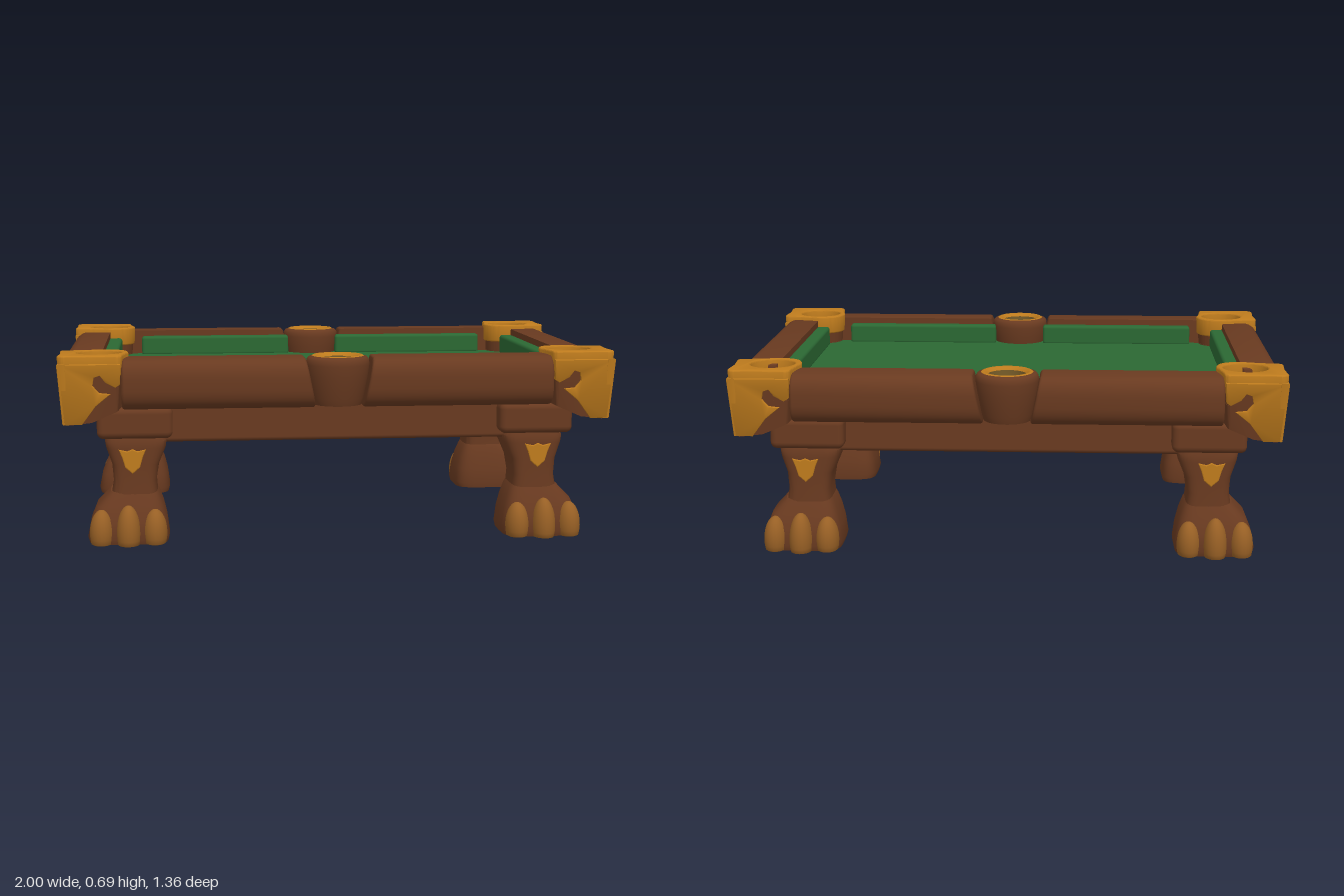
import * as THREE from 'three';
import { mergeVertices, toCreasedNormals } from 'three/addons/utils/BufferGeometryUtils.js';
import { RoundedBoxGeometry } from 'three/addons/geometries/RoundedBoxGeometry.js';

const clamp = THREE.MathUtils.clamp;
const mat = (name, color, side = THREE.FrontSide) => {
  const m = new THREE.MeshStandardMaterial({ color, side });
  m.name = name;
  return m;
};

// Mirrored copy of a geometry in x and/or z, keeping faces outward
function mirrored(geo, sx, sz) {
  const g = mergeVertices(geo.clone());
  g.scale(sx, 1, sz);
  if (sx * sz < 0) {
    const a = g.index.array;
    for (let i = 0; i < a.length; i += 3) [a[i], a[i + 1]] = [a[i + 1], a[i]];
  }
  return g;
}

// Solid through rounded-square sections [y, xMin, xMax, zMin, zMax]
function loft(sections, n = 32, power = 0.45) {
  const pos = [], idx = [];
  const bend = (v) => Math.sign(v) * Math.abs(v) ** power;
  for (const [y, x0, x1, z0, z1] of sections) {
    for (let i = 0; i < n; i++) {
      const a = (i / n) * Math.PI * 2;
      pos.push((x0 + x1) / 2 + bend(Math.cos(a)) * (x1 - x0) / 2, y,
        (z0 + z1) / 2 + bend(Math.sin(a)) * (z1 - z0) / 2);
    }
  }
  for (let s = 0; s < sections.length - 1; s++) {
    for (let i = 0; i < n; i++) {
      const a = s * n + i, b = s * n + (i + 1) % n;
      idx.push(a, a + n, b, b, a + n, b + n);
    }
  }
  const top = (sections.length - 1) * n;
  for (let i = 1; i < n - 1; i++) idx.push(0, i, i + 1, top, top + i + 1, top + i);
  const g = new THREE.BufferGeometry();
  g.setAttribute('position', new THREE.Float32BufferAttribute(pos, 3));
  g.setIndex(idx);
  return toCreasedNormals(g, 0.7);
}

const shapeOf = (pts) => new THREE.Shape(pts.map(([x, y]) => new THREE.Vector2(x, y)));

// Rail of given length along z, centred, outer side towards +x (0 to 0.15)
function railGeometry(length) {
  const s = new THREE.Shape();
  s.moveTo(0.01, 0.5);
  s.lineTo(0.09, 0.5);
  s.quadraticCurveTo(0.135, 0.505, 0.14, 0.56);
  s.lineTo(0.14, 0.6);
  s.quadraticCurveTo(0.138, 0.65, 0.1, 0.66);
  s.lineTo(0.01, 0.66);
  const b = 0.01;
  const g = new THREE.ExtrudeGeometry(s, {
    depth: length - 2 * b, bevelSize: b, bevelThickness: b, bevelSegments: 3, curveSegments: 8,
  });
  return toCreasedNormals(g.translate(0, 0, -length / 2 + b), 0.6);
}

// Corner castings narrow downwards, their underside rising towards the bed
function taper(g) {
  const p = g.attributes.position;
  for (let i = 0; i < p.count; i++) {
    const x = p.getX(i), y = p.getY(i), z = p.getZ(i);
    const s = 1 - 0.12 * clamp((0.66 - y) / 0.22, 0, 1);
    p.setX(i, 0.86 + (x - 0.86) * s);
    p.setZ(i, 0.535 + (z - 0.535) * s);
    if (y < 0.5) p.setY(i, y + 0.05 * Math.max(clamp((0.9 - x) / 0.13, 0, 1), clamp((0.58 - z) / 0.13, 0, 1)));
  }
  return toCreasedNormals(g, 0.6);
}

// Corner outline in x,z, rounded around the pocket on the bed side
function cornerOutline() {
  const s = new THREE.Shape();
  s.moveTo(0.85, 0.437);
  s.quadraticCurveTo(0.9, 0.457, 0.975, 0.462);
  s.quadraticCurveTo(0.99, 0.464, 0.989, 0.48);
  s.lineTo(0.983, 0.56);
  s.lineTo(0.989, 0.64);
  s.quadraticCurveTo(0.986, 0.664, 0.965, 0.664);
  s.lineTo(0.88, 0.658);
  s.lineTo(0.79, 0.664);
  s.quadraticCurveTo(0.775, 0.663, 0.774, 0.645);
  s.quadraticCurveTo(0.77, 0.58, 0.755, 0.53);
  s.quadraticCurveTo(0.755, 0.437, 0.85, 0.437);
  return s;
}
function cornerSlab(top, bottom, hole, bevel) {
  const s = cornerOutline();
  if (hole) s.holes.push(new THREE.Path().absarc(0.853, 0.533, hole, 0, Math.PI * 2, true));
  const g = new THREE.ExtrudeGeometry(s, {
    depth: top - bottom - 2 * bevel, bevelEnabled: bevel > 0, bevelSize: bevel,
    bevelThickness: bevel, bevelSegments: 3, curveSegments: 20,
  });
  return taper(g.rotateX(Math.PI / 2).translate(0, top - bevel, 0));
}

export function createModel() {
  const wood = mat('wood', 0x693a20);
  const gold = mat('gold', 0xbe7b1d);
  const claw = mat('claw', 0x986025);
  const felt = mat('felt', 0x2b6833);
  const lining = mat('pocketLining', 0x745a28, THREE.DoubleSide);

  const model = new THREE.Group();
  model.name = 'poolTable';
  const add = (parent, name, geo, material) => {
    const m = new THREE.Mesh(geo, material);
    m.name = name;
    parent.add(m);
  };
  const group = (name) => {
    const g = new THREE.Group();
    g.name = name;
    model.add(g);
    return g;
  };
  const box = (w, h, d, x, y, z, r = 0.01) => new RoundedBoxGeometry(w, h, d, 3, r).translate(x, y, z);

  // Frame and playing bed
  add(model, 'apron', box(1.6, 0.14, 1.03, 0, 0.425, 0, 0.015), wood);
  add(model, 'bedBase', new THREE.BoxGeometry(1.74, 0.08, 1.1).translate(0, 0.525, 0), wood);
  add(model, 'playingBed', new THREE.BoxGeometry(1.72, 0.008, 1.08).translate(0, 0.569, 0), felt);

  // End rails and cushions
  const endRail = railGeometry(0.92).translate(0.85, 0, 0);
  const endCushion = box(0.055, 0.08, 0.87, 0.828, 0.607, 0, 0.012);
  for (const sx of [1, -1]) {
    add(model, 'endRail', mirrored(endRail, sx, 1), wood);
    add(model, 'endCushion', mirrored(endCushion, sx, 1), felt);
  }

  // Side pockets
  const lathe = (pts) => new THREE.LatheGeometry(pts.map(([x, y]) => new THREE.Vector2(x, y)), 40);
  const pocketCup = toCreasedNormals(lathe([[0, 0.495], [0.085, 0.495], [0.094, 0.52], [0.109, 0.6], [0.114, 0.64],
    [0.113, 0.658], [0.106, 0.667], [0.094, 0.671]]), 0.7);
  const pocketRim = lathe([[0.095, 0.67], [0.088, 0.674], [0.077, 0.672], [0.068, 0.66]]);
  const pocketBowl = lathe([[0.068, 0.662], [0.064, 0.6], [0.055, 0.582], [0, 0.58]]);
  for (const sz of [1, -1]) {
    const pocket = group('sidePocket');
    pocket.position.z = sz * 0.567;
    add(pocket, 'pocketCup', pocketCup, wood);
    add(pocket, 'pocketRim', pocketRim, gold);
    add(pocket, 'pocketBowl', pocketBowl, lining);
  }

  // Long rail halves, slanted along the side pocket, and cushions
  const sideRail = railGeometry(0.67).rotateY(-Math.PI / 2).translate(0.437, 0, 0.523);
  const railPoints = sideRail.attributes.position;
  for (let i = 0; i < railPoints.count; i++) {
    if (railPoints.getX(i) < 0.3) railPoints.setX(i, railPoints.getX(i) + (railPoints.getY(i) - 0.58) * 0.2);
  }
  const sideCushion = box(0.62, 0.08, 0.05, 0.41, 0.607, 0.512, 0.012);

  // Corner castings: wooden core, gold rim and carved face on both outer sides
  const cornerCore = cornerSlab(0.645, 0.44, 0.086, 0);
  const cornerFloor = cornerSlab(0.575, 0.44, 0, 0);
  const cornerRim = cornerSlab(0.687, 0.615, 0.087, 0.006);
  const cornerBowl = lathe([[0.081, 0.672], [0.079, 0.61], [0.07, 0.586], [0, 0.58]]).translate(0.853, 0, 0.533);
  const facePoints = [[0.775, 0.655], [0.777, 0.585], [0.79, 0.577], [0.825, 0.595], [0.845, 0.62],
    [0.87, 0.612], [0.876, 0.58], [0.85, 0.552], [0.81, 0.55], [0.865, 0.51], [0.92, 0.445],
    [0.985, 0.445], [0.99, 0.655]];
  const face = (pts) => new THREE.ExtrudeGeometry(shapeOf(pts), {
    depth: 0.02, bevelSize: 0.003, bevelThickness: 0.005, bevelSegments: 2,
  });
  const frontFace = taper(face(facePoints).translate(0, 0, 0.646));
  // Same carving turned onto the end side
  const endFace = taper(face(facePoints.map(([x, y]) => [0.32 - x, y])).rotateY(Math.PI / 2).translate(0.971, 0, 0));

  // Legs: block, shank, paw, claws and shin ornament
  const legBlock = box(0.27, 0.115, 0.25, 0.73, 0.435, 0.463, 0.025);
  const shank = loft([[0.16, 0.65, 0.82, 0.375, 0.57], [0.22, 0.655, 0.81, 0.378, 0.567],
    [0.28, 0.645, 0.815, 0.37, 0.567], [0.34, 0.62, 0.836, 0.355, 0.568], [0.365, 0.617, 0.84, 0.352, 0.568],
    [0.385, 0.63, 0.83, 0.36, 0.56]]);
  const paw = loft([[0, 0.615, 0.9, 0.348, 0.615], [0.02, 0.61, 0.905, 0.345, 0.622],
    [0.08, 0.618, 0.893, 0.348, 0.612], [0.13, 0.63, 0.872, 0.36, 0.592], [0.17, 0.645, 0.833, 0.37, 0.572],
    [0.182, 0.652, 0.822, 0.376, 0.566]]);
  const claws = [[0.662, 0.59, 0.125], [0.757, 0.605, 0.142], [0.853, 0.59, 0.125]].map(([x, z, h]) => {
    const g = new THREE.SphereGeometry(1, 20, 14);
    g.scale(0.043, h - 0.04, 0.055).translate(x, 0.04, z);
    const p = g.attributes.position;
    for (let i = 0; i < p.count; i++) p.setY(i, Math.max(0, p.getY(i)));
    g.computeVertexNormals();
    return g;
  });
  const ornament = new THREE.ExtrudeGeometry(
    shapeOf([[0.74, 0.255], [0.763, 0.275], [0.773, 0.31], [0.785, 0.335], [0.758, 0.328], [0.74, 0.336],
      [0.722, 0.328], [0.695, 0.335], [0.707, 0.31], [0.717, 0.275]]),
    { depth: 0.014, bevelSize: 0.004, bevelThickness: 0.004, bevelSegments: 2 }).translate(0, 0, 0.553);

  for (const sx of [1, -1]) {
    for (const sz of [1, -1]) {
      const place = (parent, name, geo, material) => add(parent, name, mirrored(geo, sx, sz), material);
      place(model, 'sideRail', sideRail, wood);
      place(model, 'sideCushion', sideCushion, felt);

      const corner = group('cornerPocket');
      place(corner, 'cornerCore', cornerCore, wood);
      place(corner, 'cornerFloor', cornerFloor, wood);
      place(corner, 'cornerRim', cornerRim, gold);
      place(corner, 'cornerBowl', cornerBowl, lining);
      place(corner, 'frontCarving', frontFace, gold);
      place(corner, 'endCarving', endFace, gold);

      const leg = group('leg');
      place(leg, 'legBlock', legBlock, wood);
      place(leg, 'shank', shank, wood);
      place(leg, 'paw', paw, wood);
      place(leg, 'shinOrnament', ornament, gold);
      for (const c of claws) place(leg, 'claw', c, claw);
    }
  }
  return model;
}
